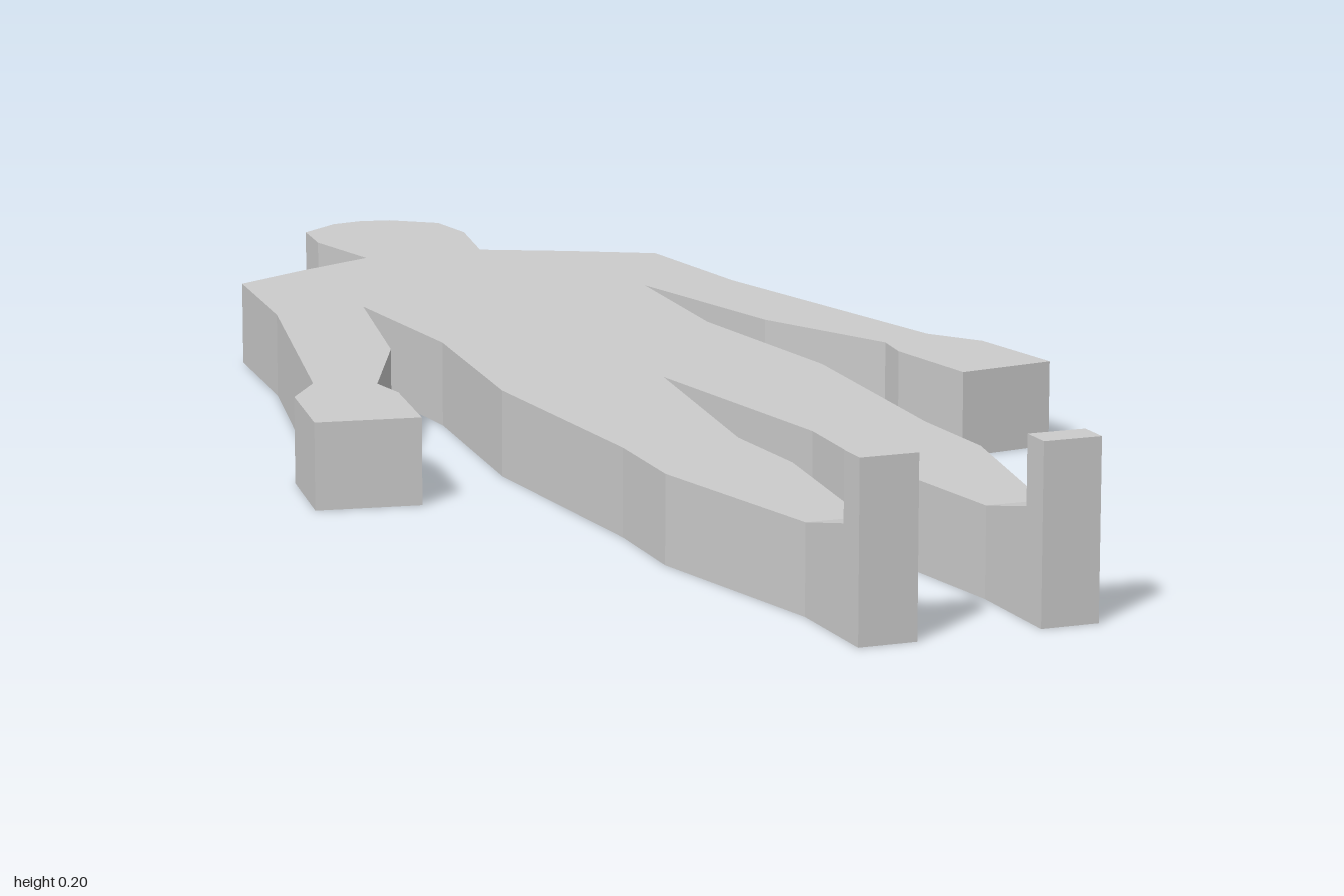
import * as THREE from 'three';

const THICK = 0.104;

// Left half of the silhouette as [x, z], from crown of head to crotch
const HALF = [
  [0, -1], [0.04, -0.992], [0.095, -0.948], [0.104, -0.87], [0.08, -0.742], // head, neck
  [0.185, -0.69], [0.288, -0.632], [0.31, -0.42], [0.4, -0.01],             // shoulder, outer arm
  [0.445, 0.055], [0.468, 0.197], [0.344, 0.216], [0.323, 0.075], [0.33, 0.02], // hand
  [0.248, -0.165], [0.192, -0.43],                                          // inner arm, armpit
  [0.176, -0.18], [0.206, 0.11], [0.187, 0.45], [0.192, 0.59], [0.14, 0.86], // waist, outer leg
  [0.072, 0.86], [0.039, 0.59], [0.046, 0.45], [0, 0.11],                   // inner leg
];

// Foot side profile as [z, y], with the toes turned up
const FOOT = [[0.86, 0], [1, 0], [1, 0.204], [0.96, 0.204], [0.96, 0.125], [0.86, THICK]];

const extrude = (points, depth) => new THREE.ExtrudeGeometry(
  new THREE.Shape(points.map(([x, y]) => new THREE.Vector2(x, y))),
  { depth, bevelEnabled: false },
);

export function createModel() {
  const group = new THREE.Group();
  group.name = 'lyingFigure';
  const material = new THREE.MeshStandardMaterial({ color: 0xcccccc, flatShading: true });
  const add = (name, geometry) => {
    const mesh = new THREE.Mesh(geometry, material);
    mesh.name = name;
    group.add(mesh);
  };

  // Flat body: half outline joined to its mirror, lying on the ground
  const mirrored = HALF.slice(1, -1).reverse().map(([x, z]) => [-x, z]);
  const outline = [...HALF, ...mirrored].map(([x, z]) => [x, -z]);
  add('body', extrude(outline, THICK).rotateX(-Math.PI / 2));

  // Feet: side profile extruded across each ankle
  const width = 0.068;
  for (const [name, side] of [['leftFoot', 1], ['rightFoot', -1]]) {
    const foot = extrude(FOOT, width).rotateY(-Math.PI / 2);
    add(name, foot.translate(side * 0.106 + width / 2, 0, 0));
  }
  return group;
}
